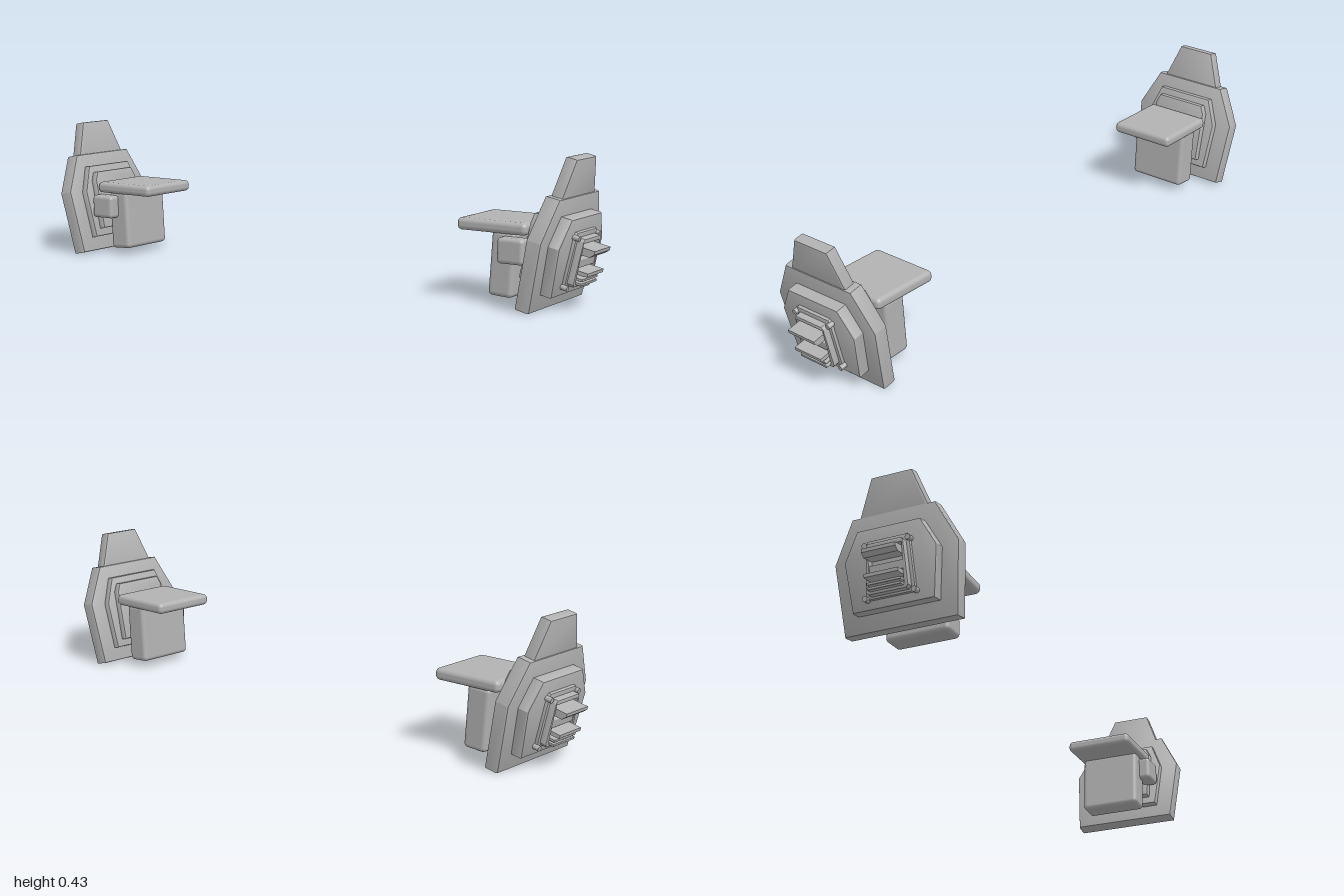
import * as THREE from 'three';
import { RoundedBoxGeometry } from 'three/addons/geometries/RoundedBoxGeometry.js';
import { toCreasedNormals } from 'three/addons/utils/BufferGeometryUtils.js';

const armourGrey = new THREE.MeshStandardMaterial({ color: 0xb2b2b2 });
armourGrey.name = 'armour grey';

function add(parent, name, geometry, x = 0, y = 0, z = 0) {
  const mesh = new THREE.Mesh(geometry, armourGrey);
  mesh.name = name;
  mesh.position.set(x, y, z);
  parent.add(mesh);
  return mesh;
}

// Bevelled plate facing x, from half an outline of [half width, height] points, bottom to top
function plate(half, x0, x1, bevel = 0.005, hole = null) {
  const outline = pts => [
    ...pts.map(([w, h]) => new THREE.Vector2(w, h)),
    ...pts.slice().reverse().map(([w, h]) => new THREE.Vector2(-w, h)),
  ];
  const shape = new THREE.Shape(outline(half));
  if (hole) shape.holes.push(new THREE.Path(outline(hole)));
  const geometry = new THREE.ExtrudeGeometry(shape, {
    depth: x1 - x0 - 2 * bevel, bevelThickness: bevel, bevelSize: bevel,
    bevelOffset: -bevel, bevelSegments: 2,
  });
  geometry.translate(0, 0, x0 + bevel);
  geometry.rotateY(Math.PI / 2);
  return toCreasedNormals(geometry, 0.6);
}

const box = (w, h, d, r) => new RoundedBoxGeometry(w, h, d, 3, r);

// Leaning shell with its fin, raised layers and vent
function createShell() {
  const shell = new THREE.Group();
  shell.name = 'shell';
  shell.position.set(0.837, 0.005, 0);
  shell.rotation.z = -0.207;

  add(shell, 'mainPlate', plate([[0.17, 0], [0.188, 0.208], [0.126, 0.328]], -0.024, 0.0225));
  add(shell, 'fin', plate([[0.106, 0.3], [0.106, 0.322], [0.062, 0.437]], -0.018, 0.019));
  add(shell, 'outerPlate', plate([[0.123, 0.05], [0.139, 0.195], [0.095, 0.277]], 0.015, 0.058));
  add(shell, 'innerPlate', plate([[0.12, 0.045], [0.132, 0.2], [0.098, 0.285]], -0.045, -0.015));
  add(shell, 'innerPad', plate([[0.098, 0.07], [0.098, 0.235], [0.085, 0.262]], -0.066, -0.04));

  // Vent housing
  add(shell, 'ventBase', plate([[0.07, 0.075], [0.073, 0.085], [0.065, 0.23], [0.06, 0.238]], 0.05, 0.068, 0.003));
  add(shell, 'ventFrame', plate(
    [[0.056, 0.082], [0.063, 0.09], [0.056, 0.216], [0.05, 0.224]], 0.06, 0.088, 0.003,
    [[0.05, 0.095], [0.05, 0.21]]));
  add(shell, 'ventDivider', box(0.022, 0.026, 0.106, 0.003), 0.074, 0.15, 0);

  // Protruding hoods and slats
  const hood = (name, low, high, x) => {
    const profile = new THREE.Shape([
      new THREE.Vector2(0.06, low), new THREE.Vector2(x - 0.012, low),
      new THREE.Vector2(x, high - 0.01), new THREE.Vector2(x, high), new THREE.Vector2(0.06, high),
    ]);
    const geometry = new THREE.ExtrudeGeometry(profile, { depth: 0.102, bevelEnabled: false });
    geometry.translate(0, 0, -0.051);
    add(shell, name, geometry);
  };
  hood('upperHood', 0.178, 0.2, 0.124);
  hood('lowerHood', 0.12, 0.132, 0.118);
  for (const y of [0.094, 0.107]) add(shell, 'ventSlat', box(0.045, 0.008, 0.102, 0.002), 0.083, y, 0);

  // Corner bolts
  for (const s of [-1, 1]) {
    for (const [z, y] of [[0.073, 0.078], [0.065, 0.224]]) {
      const bolt = new THREE.CylinderGeometry(0.008, 0.008, 0.02, 12);
      bolt.rotateZ(Math.PI / 2);
      add(shell, 'bolt', toCreasedNormals(bolt, 0.7), 0.068, y, s * z);
    }
  }
  return shell;
}

// One shoulder guard; the right one is turned around, so its front is at local -z
function createGuard(side) {
  const guard = new THREE.Group();
  guard.name = side > 0 ? 'leftGuard' : 'rightGuard';
  guard.rotation.y = side > 0 ? 0 : Math.PI;
  guard.add(createShell());

  // Flat bracket resting over the shoulder
  add(guard, 'shoulderBracket', box(0.225, 0.036, 0.22, 0.014), 0.698, 0.225, -0.005 * side);
  const block = add(guard, 'hangingBlock', box(0.077, 0.19, 0.195, 0.013), 0.728, 0.117, -0.005 * side);
  block.rotation.z = -0.06;
  add(guard, 'frontClamp', box(0.085, 0.075, 0.05, 0.012), 0.772, 0.163, 0.103 * side);

  // Hinge between block and shell
  const hinge = new THREE.CylinderGeometry(0.045, 0.045, 0.07, 24);
  hinge.rotateZ(Math.PI / 2);
  add(guard, 'hinge', toCreasedNormals(hinge, 0.7), 0.785, 0.15, 0);
  return guard;
}

export function createModel() {
  const model = new THREE.Group();
  model.name = 'shoulderGuards';
  model.add(createGuard(1), createGuard(-1));
  return model;
}
